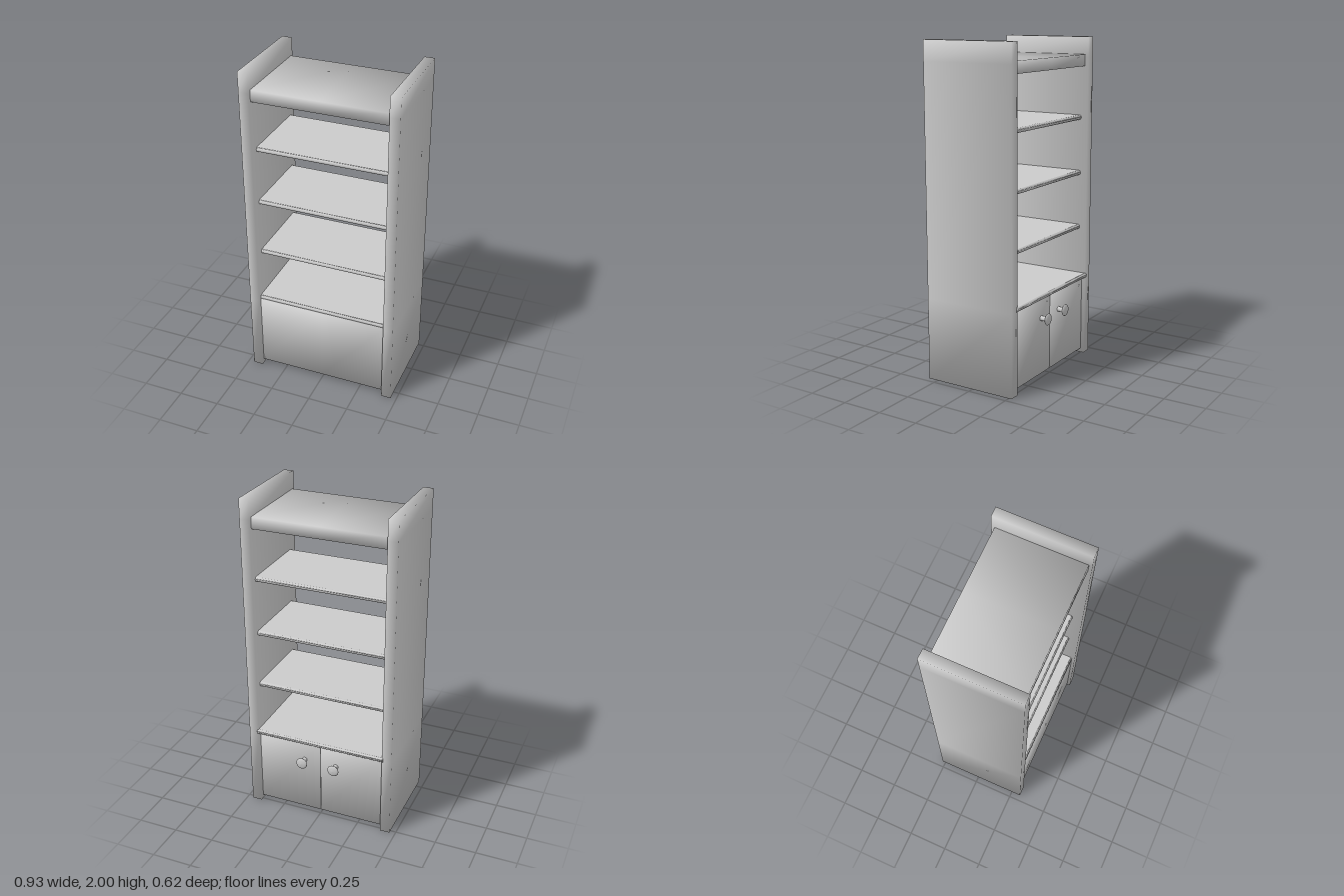
import * as THREE from 'three';
import { mergeVertices } from 'three/addons/utils/BufferGeometryUtils.js';

const material = new THREE.MeshStandardMaterial({ color: 0xcccccc });

function add(parent, name, geometry, x = 0, y = 0, z = 0) {
  const mesh = new THREE.Mesh(geometry, material);
  mesh.name = name;
  mesh.position.set(x, y, z);
  parent.add(mesh);
  return mesh;
}

// Box whose normals are averaged across its edges; rows gives fractional heights of the loops
function softBox(w, h, d, rows = [0, 1], columns = 1) {
  const geo = new THREE.BoxGeometry(w, h, d, columns, rows.length - 1, 1);
  const half = [w / 2, h / 2, d / 2];
  const pos = geo.attributes.position;
  const normal = new THREE.Vector3();
  for (let i = 0; i < pos.count; i++) {
    const row = Math.round((pos.getY(i) / h + 0.5) * (rows.length - 1));
    pos.setY(i, (rows[row] - 0.5) * h);
    const n = half.map((e, k) => {
      const v = pos.getComponent(i, k);
      return Math.abs(Math.abs(v) - e) < 1e-5 ? Math.sign(v) : 0;
    });
    normal.fromArray(n).normalize();
    geo.attributes.normal.setXYZ(i, normal.x, normal.y, normal.z);
  }
  return geo;
}

// Board running along x, with rounded front and back edges
function roundedBoard(width, thickness, zBack, zFront) {
  const r = thickness / 2;
  const shape = new THREE.Shape();
  shape.absarc(zFront - r, 0, r, -Math.PI / 2, Math.PI / 2, false);
  shape.absarc(zBack + r, 0, r, Math.PI / 2, Math.PI * 1.5, false);
  let geo = new THREE.ExtrudeGeometry(shape, { depth: width, bevelEnabled: false, curveSegments: 6 });
  geo.rotateY(-Math.PI / 2);
  geo.translate(width / 2, 0, 0);
  geo.deleteAttribute('uv');
  geo.deleteAttribute('normal');
  geo = mergeVertices(geo, 1e-4);
  geo.computeVertexNormals();
  return geo;
}

export function createModel() {
  const group = new THREE.Group();
  group.name = 'bookcase';

  // Side panels
  for (const s of [1, -1]) {
    add(group, s > 0 ? 'leftPanel' : 'rightPanel',
      softBox(0.061, 2, 0.58, [0, 0.25, 0.94, 1]), s * 0.4335, 1, 0.02);
  }

  // Top panel
  add(group, 'topPanel', softBox(0.81, 0.07, 0.54, [0, 1], 2), 0, 1.86, 0.02);

  // Open shelves
  for (const y of [0.827, 1.17, 1.513]) {
    add(group, 'shelf', roundedBoard(0.81, 0.03, -0.23, 0.25), 0, y, 0);
  }

  // Cabinet and its counter
  add(group, 'cabinetBody', softBox(0.81, 0.47, 0.52, [0, 1], 2), 0, 0.265, 0.03);
  add(group, 'counter', roundedBoard(0.82, 0.03, -0.28, 0.29), 0, 0.515, 0);

  // Doors and knobs
  const knobProfile = [
    [0.016, 0], [0.014, 0.012], [0.016, 0.028], [0.024, 0.036], [0.034, 0.043],
    [0.036, 0.047], [0.033, 0.052], [0.02, 0.056], [0, 0.058],
  ].map(([r, y]) => new THREE.Vector2(r, y));
  const knob = new THREE.LatheGeometry(knobProfile, 24);
  knob.rotateX(-Math.PI / 2);
  for (const s of [1, -1]) {
    const door = new THREE.Group();
    door.name = s > 0 ? 'leftDoor' : 'rightDoor';
    add(door, 'doorPanel', softBox(0.398, 0.472, 0.02), s * 0.2015, 0.264, -0.24);
    add(door, 'knob', knob, s * 0.103, 0.375, -0.25);
    group.add(door);
  }

  return group;
}
